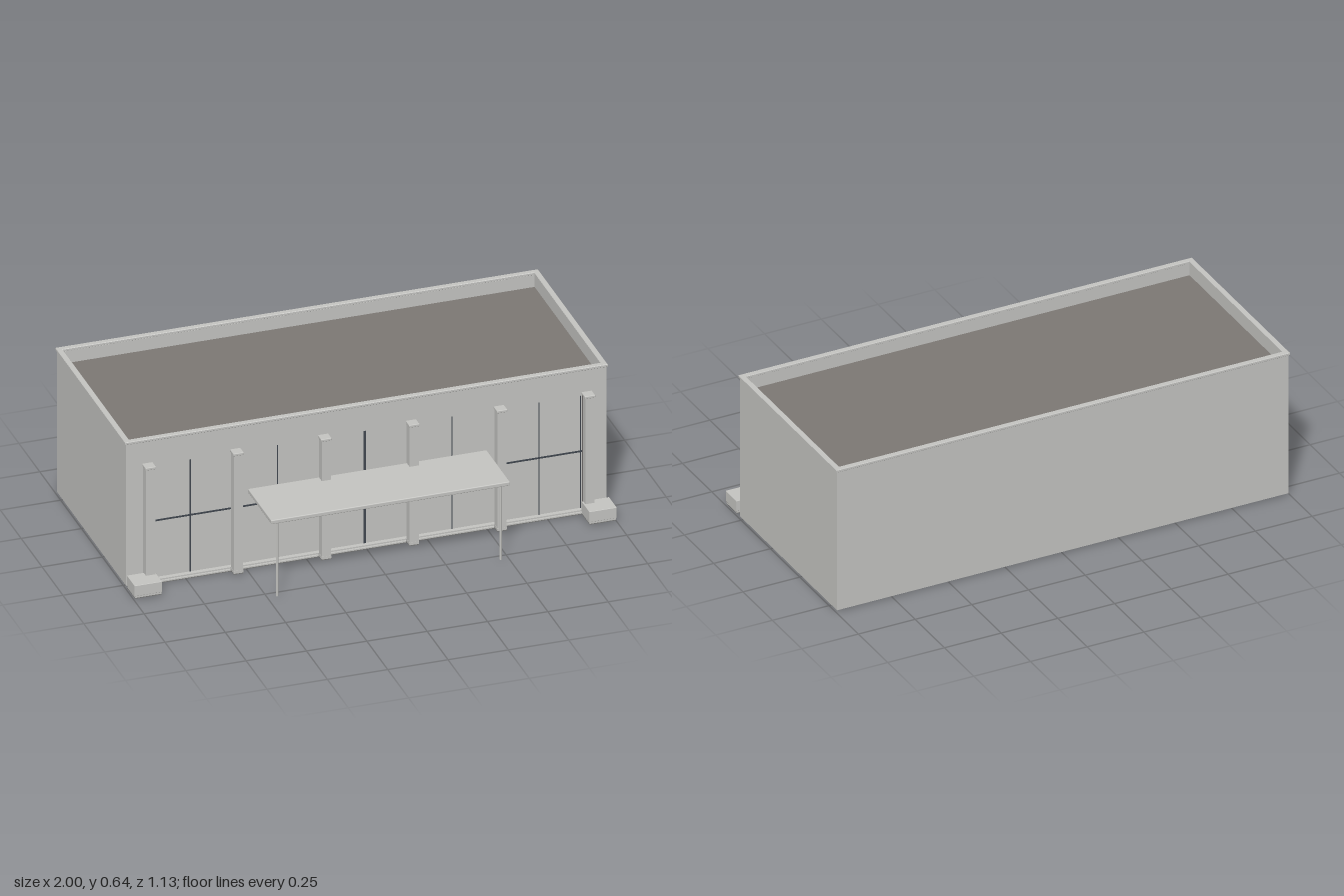
import * as THREE from 'three';
import { RoundedBoxGeometry } from 'three/addons/geometries/RoundedBoxGeometry.js';

const mat = (name, color, side = THREE.FrontSide) => {
  const m = new THREE.MeshStandardMaterial({ color, side });
  m.name = name;
  return m;
};

export function createModel() {
  const model = new THREE.Group();
  model.name = 'storefront';
  const concrete = mat('concrete grey', 0xc2c2bf);
  const wallGrey = mat('wall grey', 0xc2c2bf, THREE.DoubleSide);
  const roofBrown = mat('roof brown', 0x7b7773);
  const roomBrown = mat('dark interior brown', 0x302a2a, THREE.DoubleSide);
  const baseGrey = mat('base dark grey', 0x757573);
  const frameDark = mat('window frame slate', 0x40464e);

  const add = (name, geo, material, parent = model) => {
    const mesh = new THREE.Mesh(geo, material);
    mesh.name = name;
    parent.add(mesh);
    return mesh;
  };
  // Box given by its limits on each axis, with optional softened edges
  const box = (name, x0, x1, y0, y1, z0, z1, material = concrete, parent = model, soft = 0) => {
    const size = [x1 - x0, y1 - y0, z1 - z0];
    const geo = soft ? new RoundedBoxGeometry(...size, 2, soft) : new THREE.BoxGeometry(...size);
    const mesh = add(name, geo, material, parent);
    mesh.position.set((x0 + x1) / 2, (y0 + y1) / 2, (z0 + z1) / 2);
    return mesh;
  };
  const rect = (Type, x0, x1, y0, y1) => new Type().setFromPoints([
    new THREE.Vector2(x0, y0), new THREE.Vector2(x1, y0),
    new THREE.Vector2(x1, y1), new THREE.Vector2(x0, y1), new THREE.Vector2(x0, y0)]);

  const W = 0.995, Y0 = 0.007, Y1 = 0.635, BACK = -0.558, FRONT = 0.269;
  const MID = (BACK + FRONT) / 2, DEPTH = FRONT - BACK;

  // Thin shell walls, open underneath
  const backWall = add('backWall', new THREE.PlaneGeometry(2 * W, Y1 - Y0), wallGrey);
  backWall.position.set(0, (Y0 + Y1) / 2, BACK);
  backWall.rotation.y = Math.PI;
  for (const s of [-1, 1]) {
    const side = add(s > 0 ? 'leftWall' : 'rightWall', new THREE.PlaneGeometry(DEPTH, Y1 - Y0), wallGrey);
    side.position.set(s * W, (Y0 + Y1) / 2, MID);
    side.rotation.y = s * Math.PI / 2;
  }

  // Front wall with the wide window opening
  const OPEN = 0.9, HEAD = 0.522, PANE = 0.25, ROOM = -0.06;
  const frontShape = rect(THREE.Shape, -W, W, Y0, Y1);
  frontShape.holes.push(rect(THREE.Path, -OPEN, OPEN, Y0 + 0.004, HEAD));
  const frontWall = add('frontWall', new THREE.ShapeGeometry(frontShape), wallGrey);
  frontWall.position.z = FRONT;

  // Parapet ring, coping with softened edges, and sunken roof
  const ring = (name, ox, z0, z1, t, y0, y1, bevel) => {
    const shape = rect(THREE.Shape, -ox + bevel, ox - bevel, -z1 + bevel, -z0 - bevel);
    shape.holes.push(rect(THREE.Path, -ox + t - bevel, ox - t + bevel, -z1 + t - bevel, -z0 - t + bevel));
    const mesh = add(name, new THREE.ExtrudeGeometry(shape, {
      depth: y1 - y0 - 2 * bevel, bevelEnabled: bevel > 0,
      bevelSize: bevel, bevelThickness: bevel, bevelSegments: 1,
    }), concrete);
    mesh.rotation.x = -Math.PI / 2;
    mesh.position.y = y0 + bevel;
  };
  ring('parapet', W - 0.001, BACK + 0.001, FRONT - 0.001, 0.016, 0.572, 0.634, 0);
  ring('coping', 1, -0.564, 0.274, 0.023, 0.633, 0.645, 0.002);
  box('roof', -W + 0.01, W - 0.01, 0.57, 0.581, BACK + 0.01, FRONT - 0.01, roofBrown);

  // Shallow room behind the windows: brown shell, dark grey floor
  const room = new THREE.Group();
  room.name = 'room';
  model.add(room);
  box('roomBackWall', -OPEN, OPEN, 0.011, HEAD, ROOM - 0.005, ROOM, roomBrown, room);
  box('roomCeiling', -OPEN, OPEN, HEAD, HEAD + 0.005, ROOM - 0.005, FRONT - 0.002, roomBrown, room);
  for (const s of [-1, 1]) {
    const x = s * (OPEN + 0.002);
    box('roomSideWall', x - 0.002, x + 0.002, 0.011, HEAD, ROOM - 0.005, FRONT - 0.002, roomBrown, room);
  }
  box('roomFloor', -OPEN - 0.005, OPEN + 0.005, 0.008, 0.011, ROOM - 0.008, FRONT - 0.002, baseGrey, room);
  box('windowSill', -OPEN, OPEN, 0.011, 0.014, PANE - 0.005, FRONT, concrete, room);

  // Window panes and slate bars
  const windows = new THREE.Group();
  windows.name = 'windows';
  model.add(windows);
  box('panes', -OPEN, OPEN, 0.014, HEAD, PANE - 0.005, PANE, concrete, windows);
  for (const x of [-0.895, -0.7225, -0.3615, 0, 0.3615, 0.7225, 0.895]) {
    const w = x === 0 ? 0.005 : 0.002;
    box('windowPost', x - w, x + w, 0.014, HEAD - 0.002, PANE, PANE + 0.002, frameDark, windows);
  }
  box('windowRail', -OPEN, OPEN, 0.262, 0.269, PANE, PANE + 0.002, frameDark, windows);
  box('doorstep', -0.915, 0.915, 0.003, 0.008, 0.245, 0.278, concrete, windows);
  box('doorstepUnderside', -0.915, 0.915, 0, 0.003, 0.245, 0.278, baseGrey, windows);

  // Row of six pillars standing just clear of the front wall
  for (let i = 0; i < 6; i++) {
    const pillar = new THREE.Group();
    pillar.name = 'pillar';
    pillar.position.x = -0.91 + i * 0.364;
    model.add(pillar);
    box('pillarShaft', -0.019, 0.019, 0.02, 0.533, 0.283, 0.319, concrete, pillar);
    box('pillarCap', -0.022, 0.022, 0.532, 0.544, 0.279, 0.322, concrete, pillar, 0.003);
    box('pillarBase', -0.02, 0.02, 0.01, 0.022, 0.28, 0.32, concrete, pillar);
    box('pillarUnderside', -0.02, 0.02, 0.007, 0.01, 0.28, 0.32, baseGrey, pillar);
  }

  // Entrance canopy on two slim posts
  box('canopy', -0.495, 0.495, 0.34, 0.358, 0.283, 0.564, concrete, model, 0.004);
  for (const s of [-1, 1]) {
    const post = add('canopyPost', new THREE.CylinderGeometry(0.0045, 0.0045, 0.334, 10), concrete);
    post.position.set(s * 0.463, 0.174, 0.541);
  }

  // Low corner blocks
  for (const s of [-1, 1]) {
    const block = new THREE.Group();
    block.name = 'cornerBlock';
    block.position.x = s * 0.942;
    model.add(block);
    box('blockBody', -0.057, 0.057, 0.018, 0.065, 0.291, 0.384, concrete, block, 0.002);
    box('blockFoot', -0.055, 0.055, 0.01, 0.02, 0.293, 0.382, concrete, block);
    box('blockUnderside', -0.055, 0.055, 0.007, 0.01, 0.293, 0.382, baseGrey, block);
  }
  return model;
}
